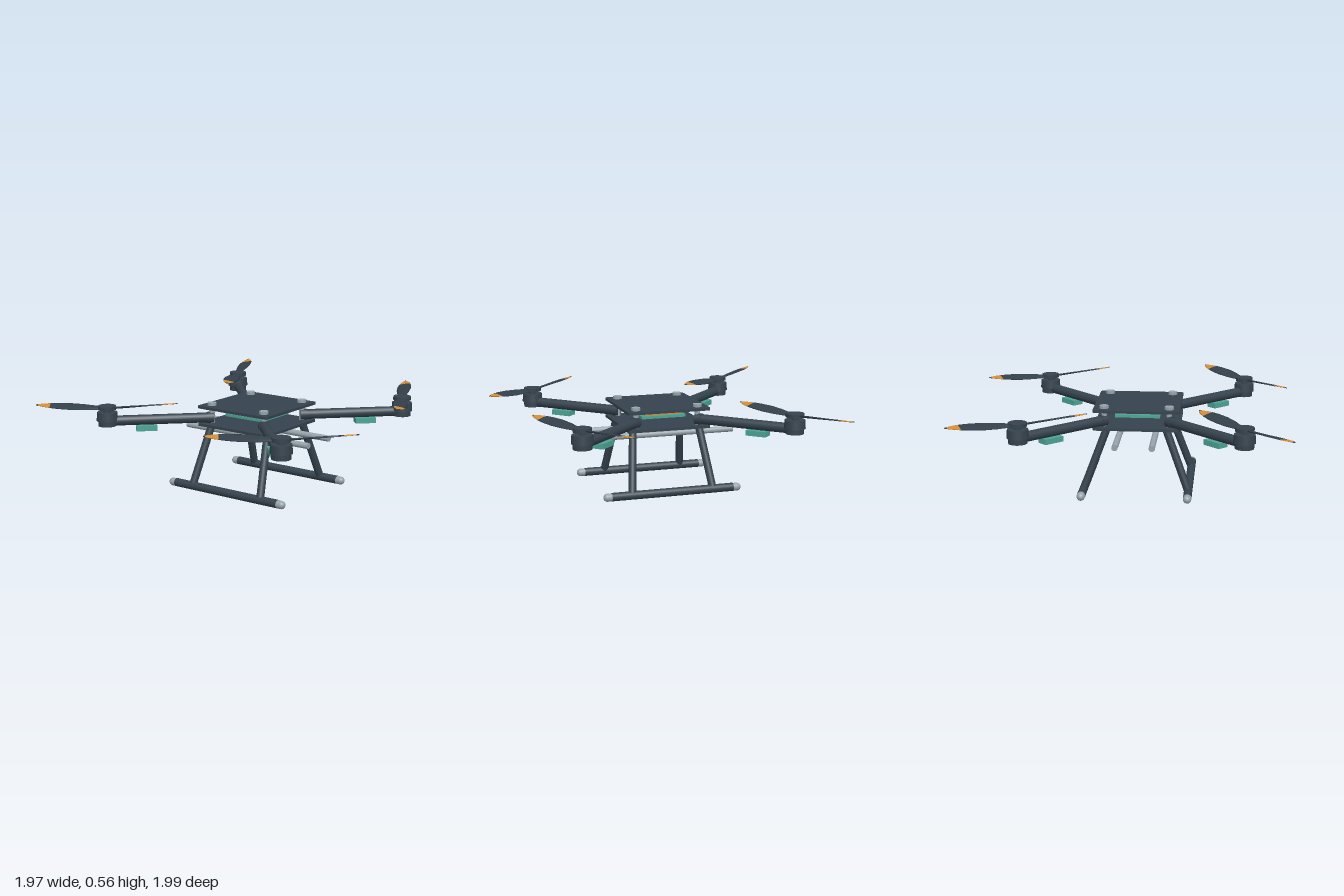
import * as THREE from 'three';

const material = (name, color, side = THREE.FrontSide) => {
  const m = new THREE.MeshStandardMaterial({ color, side });
  m.name = name;
  return m;
};

export function createModel() {
  const carbon = material('dark carbon', 0x35424d);
  const metal = material('light metal', 0x98a5ac);
  const teal = material('teal', 0x4ca595);
  const orange = material('orange', 0xd18d38);

  const model = new THREE.Group();
  model.name = 'quadcopter';
  const frame = new THREE.Group();
  frame.name = 'airframe';
  frame.position.x = -0.059;
  model.add(frame);

  const V = (x, y, z) => new THREE.Vector3(x, y, z);
  const add = (name, geometry, mat, x = 0, y = 0, z = 0, parent = frame) => {
    const mesh = new THREE.Mesh(geometry, mat);
    mesh.name = name;
    mesh.position.set(x, y, z);
    parent.add(mesh);
    return mesh;
  };
  const cyl = (r, h, n = 24, r2 = r) => new THREE.CylinderGeometry(r, r2, h, n);
  // Round bar between two points
  const bar = (name, a, b, r, mat) => {
    const mesh = add(name, cyl(r, a.distanceTo(b)), mat);
    mesh.position.copy(a).lerp(b, 0.5);
    mesh.quaternion.setFromUnitVectors(V(0, 1, 0), b.clone().sub(a).normalize());
    return mesh;
  };

  // Square frame plates with small rounded corners
  const h = 0.266, c = 0.02;
  const outline = new THREE.Shape();
  outline.moveTo(-h + c, -h);
  outline.lineTo(h - c, -h);
  outline.quadraticCurveTo(h, -h, h, -h + c);
  outline.lineTo(h, h - c);
  outline.quadraticCurveTo(h, h, h - c, h);
  outline.lineTo(-h + c, h);
  outline.quadraticCurveTo(-h, h, -h, h - c);
  outline.lineTo(-h, -h + c);
  outline.quadraticCurveTo(-h, -h, -h + c, -h);
  const plate = new THREE.ExtrudeGeometry(outline, { depth: 0.016, bevelEnabled: false });
  plate.rotateX(-Math.PI / 2);
  add('topPlate', plate, carbon, 0, 0.511, 0);
  add('bottomPlate', plate, carbon, 0, 0.4, 0);

  // Flight controller stack
  add('circuitBoard', new THREE.BoxGeometry(0.28, 0.017, 0.285), teal, 0, 0.463, 0);
  add('processor', new THREE.BoxGeometry(0.132, 0.033, 0.14), carbon, 0, 0.488, 0);
  for (const s of [-1, 1]) {
    add('pinStrip', new THREE.BoxGeometry(0.022, 0.016, 0.23), orange, s * 0.11, 0.479, 0);
    // Payload rails under the body
    bar('payloadRail', V(s * 0.111, 0.35, -0.468), V(s * 0.111, 0.35, 0.468), 0.019, metal);
  }

  // Propeller blade: lens cross-sections lofted along the span, coned and twisted
  const span = 0.432, sides = 10;
  const width = [[0, 0.036], [0.15, 0.05], [0.3, 0.076], [0.5, 0.094], [0.68, 0.09],
    [0.8, 0.076], [0.9, 0.054], [0.97, 0.026], [1, 0.004]];
  const pos = [], index = [];
  for (const [t, w] of width) {
    const twist = 0.32 - 0.17 * t;
    for (let j = 0; j < sides; j++) {
      const a = (j / sides) * Math.PI * 2;
      const z = Math.cos(a) * w / 2, y = Math.sin(a) * (0.007 - 0.004 * t);
      pos.push(t * span, 0.026 * t + y * Math.cos(twist) + z * Math.sin(twist),
        z * Math.cos(twist) - y * Math.sin(twist));
    }
  }
  for (let i = 0; i < width.length - 1; i++) {
    for (let j = 0; j < sides; j++) {
      const a = i * sides + j, b = i * sides + (j + 1) % sides;
      index.push(a, b, a + sides, b, b + sides, a + sides);
    }
  }
  const blade = new THREE.BufferGeometry();
  blade.setAttribute('position', new THREE.Float32BufferAttribute(pos, 3));
  blade.setIndex(index);
  blade.computeVertexNormals();
  const ring = sides * 6;
  blade.addGroup(0, ring * 5, 0);
  blade.addGroup(ring * 5, ring * 2, 1);
  blade.addGroup(ring * 7, ring, 0);
  const bladeMats = [material('blade carbon', 0x333f4a, THREE.DoubleSide),
    material('tip orange', 0xd18d38, THREE.DoubleSide)];

  for (const sx of [-1, 1]) {
    for (const sz of [-1, 1]) {
      // Standoffs and bolts at the plate corners
      add('standoff', cyl(0.017, 0.1, 16), metal, sx * 0.2, 0.462, sz * 0.2);
      add('bolt', cyl(0.029, 0.018, 8), metal, sx * 0.2, 0.536, sz * 0.2);

      // Diagonal arm with clamp collar and speed controller
      bar('arm', V(sx * 0.195, 0.45, sz * 0.195), V(sx * 0.657, 0.45, sz * 0.657), 0.031, carbon);
      bar('armCollar', V(sx * 0.193, 0.45, sz * 0.193), V(sx * 0.222, 0.45, sz * 0.222), 0.035, carbon);
      const pod = add('speedController', new THREE.BoxGeometry(0.13, 0.033, 0.072), teal,
        sx * 0.488, 0.401, sz * 0.488);
      pod.rotation.y = -sx * sz * Math.PI / 4;

      // Motor and propeller
      const rotor = new THREE.Group();
      rotor.name = 'rotor';
      rotor.position.set(sx * 0.657, 0, sz * 0.657);
      frame.add(rotor);
      add('motorBase', cyl(0.056, 0.035), carbon, 0, 0.438, 0, rotor);
      add('motorBell', cyl(0.062, 0.052, 28, 0.066), carbon, 0, 0.48, 0, rotor);
      add('shaft', cyl(0.022, 0.03, 16), carbon, 0, 0.515, 0, rotor);
      add('propellerHub', cyl(0.056, 0.023, 28), carbon, 0, 0.534, 0, rotor);
      const angle = sx < 0 ? -0.89 : 0.48;
      for (const turn of [0, Math.PI]) {
        add('blade', blade, bladeMats, 0, 0.529, 0, rotor).rotation.y = angle + turn;
      }

      // Splayed landing leg
      bar('landingLeg', V(sx * 0.183, 0.402, sz * 0.215), V(sx * 0.323, 0.026, sz * 0.262), 0.024, carbon);
      // Rounded skid end
      const cap = add('skidCap', new THREE.CapsuleGeometry(0.025, 0.05, 8, 20), metal,
        sx * 0.323, 0.025, sz * 0.395);
      cap.rotation.x = Math.PI / 2;
    }
    bar('skid', V(sx * 0.323, 0.026, -0.393), V(sx * 0.323, 0.026, 0.393), 0.026, carbon);
  }
  return model;
}
